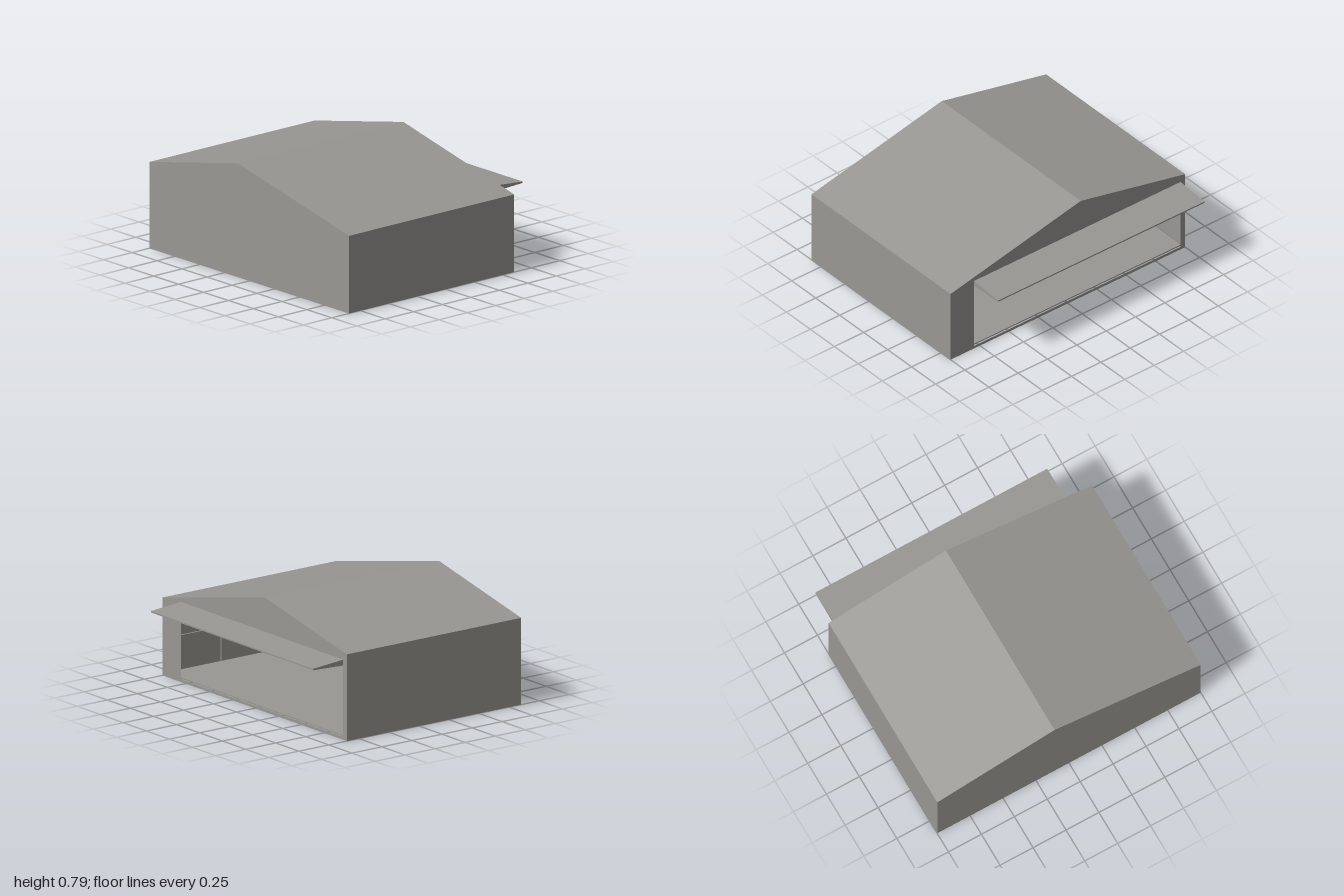
import * as THREE from 'three';

const X0 = -0.85, X1 = 0.6;
const EAVE_FRONT = 0.535, RIDGE = 0.785, EAVE_BACK = 0.595, RIDGE_Z = -0.11;

export function createModel() {
  const group = new THREE.Group();
  const grey = new THREE.MeshStandardMaterial({ name: 'plain grey', color: 0x999793, side: THREE.DoubleSide });

  const add = (name, geometry) => {
    const mesh = new THREE.Mesh(geometry, grey);
    mesh.name = name;
    group.add(mesh);
    return mesh;
  };
  // Flat four-cornered sheet, corners anticlockwise from outside
  const sheet = (name, a, b, c, d) => {
    const g = new THREE.BufferGeometry();
    g.setAttribute('position', new THREE.Float32BufferAttribute([...a, ...b, ...c, ...a, ...c, ...d], 3));
    g.computeVertexNormals();
    return add(name, g);
  };
  const box = (name, w, h, d, x, y, z) =>
    add(name, new THREE.BoxGeometry(w, h, d)).position.set(x, y, z);

  // Walls and the two roof slopes
  sheet('frontWall', [X0, 0, 1], [X1, 0, 1], [X1, EAVE_FRONT, 1], [X0, EAVE_FRONT, 1]);
  sheet('backWall', [X1, 0, -1], [X0, 0, -1], [X0, EAVE_BACK, -1], [X1, EAVE_BACK, -1]);
  sheet('frontRoof', [X0, EAVE_FRONT, 1], [X1, EAVE_FRONT, 1], [X1, RIDGE, RIDGE_Z], [X0, RIDGE, RIDGE_Z]);
  sheet('backRoof', [X1, EAVE_BACK, -1], [X0, EAVE_BACK, -1], [X0, RIDGE, RIDGE_Z], [X1, RIDGE, RIDGE_Z]);

  // Gable ends drawn with shape x = -z; the left one has the wide opening
  const gable = () => new THREE.Shape([
    new THREE.Vector2(-1, 0), new THREE.Vector2(1, 0), new THREE.Vector2(1, EAVE_BACK),
    new THREE.Vector2(-RIDGE_Z, RIDGE), new THREE.Vector2(-1, EAVE_FRONT),
  ]);
  const openGable = gable();
  openGable.holes.push(new THREE.Path([
    new THREE.Vector2(-0.8, 0.02), new THREE.Vector2(-0.8, 0.55),
    new THREE.Vector2(0.96, 0.55), new THREE.Vector2(0.96, 0.02),
  ]));
  add('openGableWall', new THREE.ShapeGeometry(openGable).rotateY(Math.PI / 2).translate(X1, 0, 0));
  // Mirrored gable faces -x
  const closed = new THREE.Shape(gable().getPoints().map(p => new THREE.Vector2(-p.x, p.y)));
  add('closedGableWall', new THREE.ShapeGeometry(closed).rotateY(-Math.PI / 2).translate(X0, 0, 0));

  // Floor, slightly raised
  box('floor', X1 - X0 - 0.03, 0.008, 1.95, (X0 + X1) / 2, 0.02, 0);

  // Tapered canopy above the opening
  const canopy = new THREE.Shape([
    new THREE.Vector2(X1, 0.51), new THREE.Vector2(0.85, 0.52),
    new THREE.Vector2(0.85, 0.53), new THREE.Vector2(X1, 0.55),
  ]);
  add('canopy', new THREE.ExtrudeGeometry(canopy, { depth: 1.76, bevelEnabled: false }).translate(0, 0, -0.96));

  // Interior frame on the closed gable
  const t = 0.012;
  for (const z of [0.625, 0.26, -0.11, -0.465, -0.83]) {
    box('gablePost', t, 0.51, t, X0 + t, 0.255, z);
  }
  box('gableMiddleRail', t, t, 1.97, X0 + t, 0.25, 0);
  box('gableTopRail', t, t, 1.455, X0 + t, 0.503, -0.1025);

  // Interior frame on the front and back walls
  for (const side of [1, -1]) {
    for (const x of [0.117, -0.367]) {
      box('sidePost', t, 0.51, t, x, 0.255, side * (1 - t));
    }
    box('sideRail', X1 - X0 - 0.03, t, t, (X0 + X1) / 2, 0.25, side * (1 - t));
  }
  return group;
}
